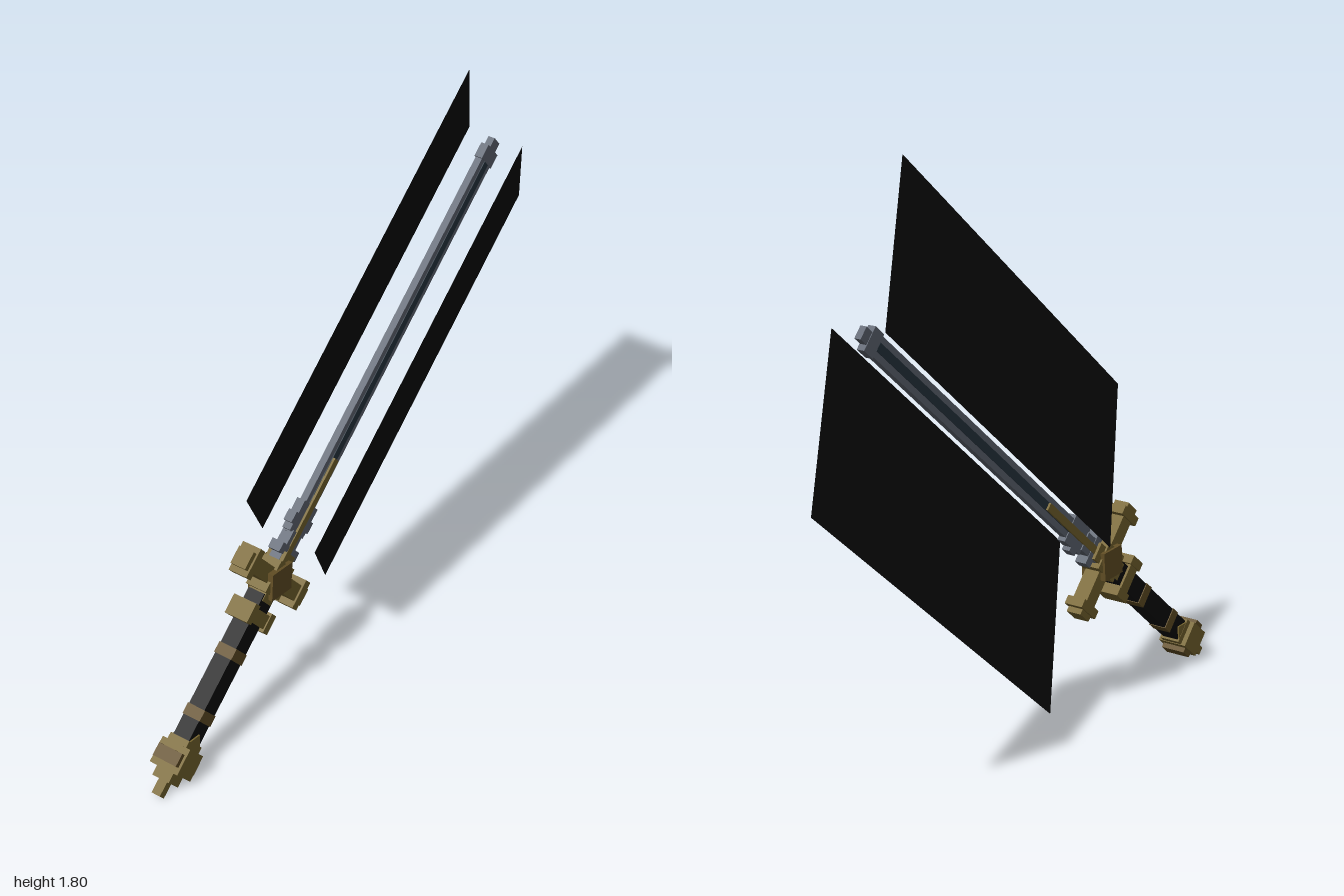
import * as THREE from 'three';

export function createModel() {
  const mat = (name, color, side = THREE.FrontSide) => {
    const m = new THREE.MeshStandardMaterial({ color, side });
    m.name = name;
    return m;
  };
  const gold = mat('agedGold', 0x78662f);
  const darkGold = mat('darkGold', 0x634f25);
  const steel = mat('steel', 0x626975);
  const fullerSteel = mat('darkSteel', 0x283642);
  const leather = mat('blackLeather', 0x0b0b0b);
  const panelBlack = mat('panelBlack', 0x0b0b0b, THREE.DoubleSide);

  // The sword is built lying along +x, then tilted up 40 degrees.
  const sword = new THREE.Group();
  sword.name = 'sword';
  sword.position.set(-0.99, 0.01, 0);
  sword.rotation.z = THREE.MathUtils.degToRad(40);

  // Box from u0 to u1 along the sword, with half width v and half depth z.
  const block = (name, m, u0, u1, v, z, cy = 0, turn = 0) => {
    const b = new THREE.Mesh(new THREE.BoxGeometry(u1 - u0, 2 * v, 2 * z), m);
    b.name = name;
    b.position.set((u0 + u1) / 2, cy, 0);
    b.rotation.z = turn;
    sword.add(b);
    return b;
  };

  // Pommel
  block('pommelTip', gold, 0, 0.07, 0.013, 0.015);
  block('pommelBase', gold, 0.045, 0.08, 0.03, 0.03);
  block('pommel', gold, 0.075, 0.155, 0.042, 0.05);
  block('pommelBand', darkGold, 0.095, 0.135, 0.058, 0.042);
  block('pommelCollar', gold, 0.15, 0.175, 0.04, 0.034);
  block('pommelPoint', gold, 0.15, 0.195, 0.0225, 0.033, 0, Math.PI / 4);

  // Grip with bands
  block('grip', leather, 0.15, 0.64, 0.033, 0.028);
  for (const u of [0.254, 0.448]) block('gripBand', darkGold, u - 0.017, u + 0.017, 0.035, 0.031);

  // Collar under the guard
  block('collar', gold, 0.552, 0.594, 0.062, 0.036);
  for (const s of [-1, 1]) block('collarEnd', gold, 0.543, 0.603, 0.014, 0.04, s * 0.055);

  // Cross guard
  block('guardNeck', gold, 0.62, 0.775, 0.028, 0.03);
  block('guardCentre', gold, 0.645, 0.745, 0.045, 0.036);
  block('guardBoss', darkGold, 0.65, 0.74, 0.045, 0.044, 0, Math.PI / 4);
  for (const s of [-1, 1]) {
    block('guardArm', gold, 0.67, 0.72, 0.065, 0.026, s * 0.09);
    block('guardFlare', gold, 0.65, 0.74, 0.014, 0.032, s * 0.16);
    block('guardTip', gold, 0.668, 0.722, 0.01, 0.026, s * 0.182);
  }

  // Blade root
  block('bladeRoot', steel, 0.74, 0.84, 0.03, 0.018);
  block('rootBar', steel, 0.765, 0.795, 0.055, 0.02);
  block('rootFlare', steel, 0.835, 0.93, 0.045, 0.014);
  block('rootStep', steel, 0.855, 0.89, 0.058, 0.014);

  // Blade with a dark fuller and gold inlay
  block('blade', steel, 0.83, 2.1, 0.032, 0.011);
  block('fuller', fullerSteel, 0.93, 2.06, 0.013, 0.0135);
  block('goldInlay', gold, 0.76, 1.08, 0.012, 0.021);
  block('bladeEnd', steel, 2.06, 2.105, 0.038, 0.013);
  block('bladeTip', steel, 2.1, 2.135, 0.02, 0.011);

  // Two large slanted panels, one on each side of the blade
  const slope = Math.atan2(0.22, 0.527);
  for (const s of [-1, 1]) {
    const panel = new THREE.Mesh(new THREE.PlaneGeometry(1.337, 0.571), panelBlack);
    panel.name = s > 0 ? 'upperPanel' : 'lowerPanel';
    panel.position.set(1.4785, s * 0.2715, s * 0.02);
    panel.rotation.x = slope;
    sword.add(panel);
  }

  const model = new THREE.Group();
  model.name = 'swordWithPanels';
  model.add(sword);
  return model;
}
